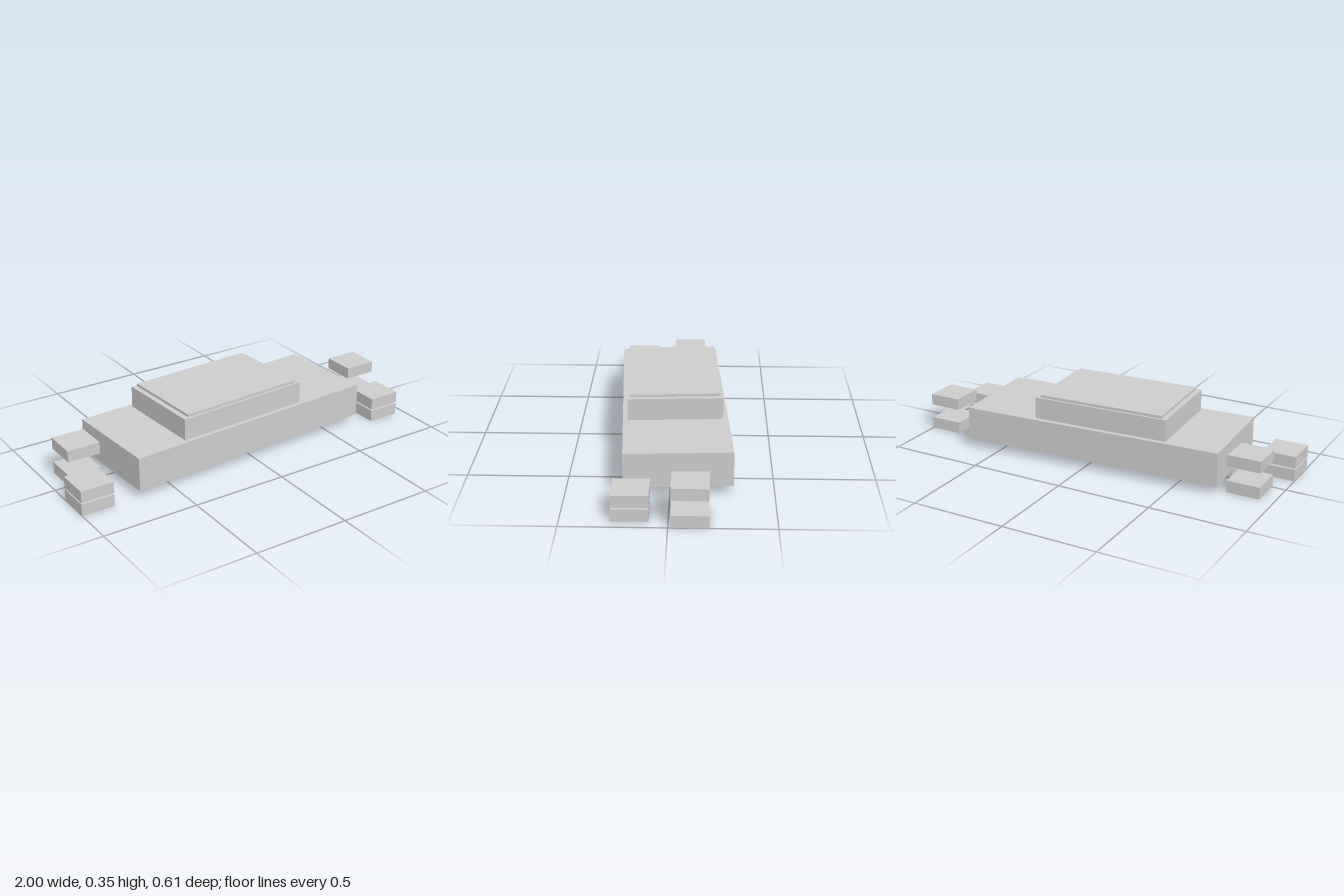
import * as THREE from 'three';

export function createModel() {
  const model = new THREE.Group();
  model.name = 'blockVehicle';

  const paleGrey = new THREE.MeshStandardMaterial({ color: 0xcccccc });
  paleGrey.name = 'pale grey';

  // Box placed by its centre in plan and its bottom and top heights
  function block(name, width, depth, x, z, bottom, top, turn = 0) {
    const mesh = new THREE.Mesh(new THREE.BoxGeometry(width, top - bottom, depth), paleGrey);
    mesh.name = name;
    mesh.position.set(x, (bottom + top) / 2, z);
    mesh.rotation.y = turn;
    model.add(mesh);
  }

  // Hull, cabin and roof plate share a slight turn
  const turn = 0.059;
  block('body', 1.397, 0.526, -0.014, 0, 0.045, 0.22, turn);
  block('cabin', 0.725, 0.476, -0.066, 0.004, 0.22, 0.333, turn);
  block('roofPlate', 0.673, 0.452, -0.065, 0.004, 0.333, 0.347, turn);

  // Four stacks of two blocks: [name, x, z, bottom of the upper block]
  const stacks = [
    ['frontRight', -0.914, 0.202, 0.07],
    ['backRight', -0.839, -0.076, 0.137],
    ['frontLeft', 0.859, 0.176, 0.07],
    ['backLeft', 0.913, -0.1, 0.137],
  ];
  for (const [name, x, z, bottom] of stacks) {
    block(name + 'LowerBlock', 0.174, 0.175, x, z, 0, 0.062);
    block(name + 'UpperBlock', 0.174, 0.175, x, z, bottom, bottom + 0.061);
  }

  return model;
}
